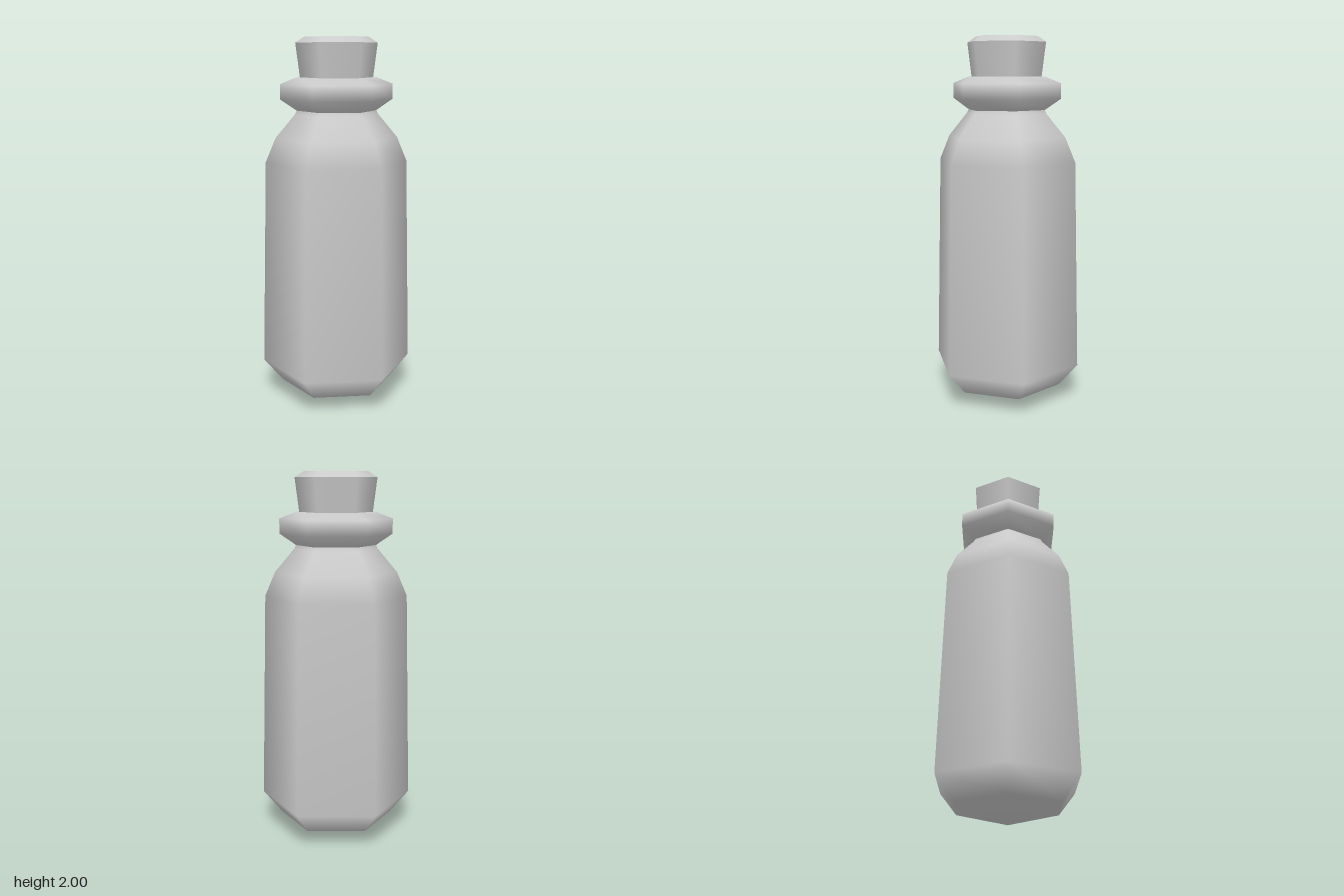
import * as THREE from 'three';

const SIDES = 6;
const TWIST = THREE.MathUtils.degToRad(20.9);

export function createModel() {
  const model = new THREE.Group();
  model.name = 'corkedBottle';
  const material = new THREE.MeshStandardMaterial({ color: 0xcccccc });

  // Six-sided turned part; the profile lists [radius, height] from bottom to top
  const turned = (name, profile) => {
    const points = profile.map(([r, y]) => new THREE.Vector2(r, y));
    const mesh = new THREE.Mesh(new THREE.LatheGeometry(points, SIDES, TWIST), material);
    mesh.name = name;
    model.add(mesh);
  };

  // Glass: pointed base, tapering body, rounded shoulder and neck
  turned('bottleBody', [
    [0, 0], [0.31, 0.085], [0.415, 0.21], [0.385, 1.34],
    [0.33, 1.47], [0.225, 1.595], [0.215, 1.615],
  ]);

  // Bulging collar around the mouth
  turned('lip', [
    [0.215, 1.615], [0.303, 1.675], [0.303, 1.755], [0.215, 1.79], [0, 1.79],
  ]);

  // Stopper, flaring upwards, with a crisp bevel and flat top
  turned('stopperSide', [[0.195, 1.78], [0.219, 1.97]]);
  turned('stopperBevel', [[0.219, 1.97], [0.172, 2]]);
  turned('stopperTop', [[0.172, 2], [0, 2]]);

  return model;
}
